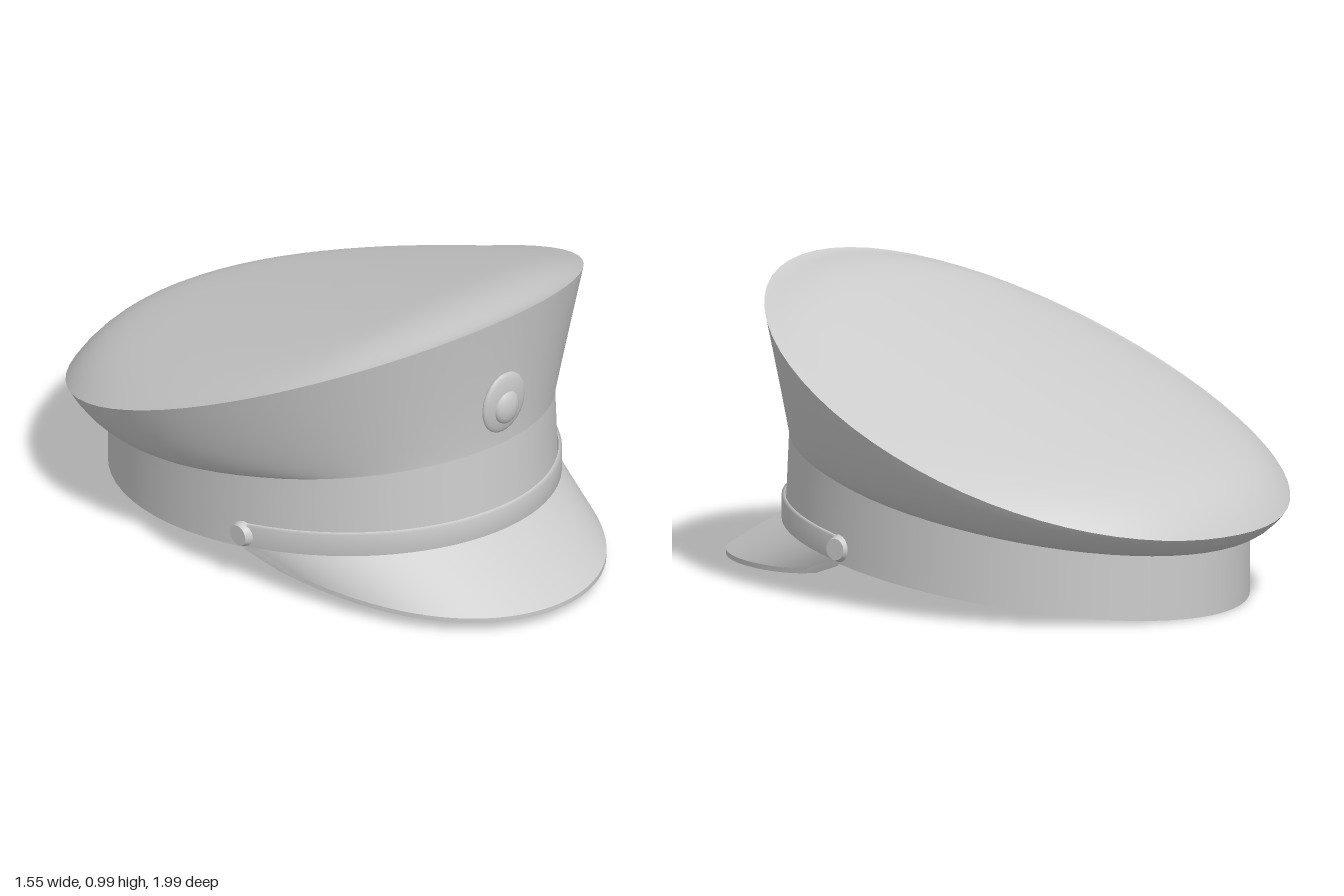
import * as THREE from 'three';

const grey = new THREE.MeshStandardMaterial({ color: 0xcccccc, side: THREE.DoubleSide });

// Grid surface from f(u, v) -> [x, y, z]; closed surfaces wrap around in u.
function surface(f, nu, nv, closed = false) {
  const pos = [], index = [], cols = closed ? nu : nu + 1;
  for (let j = 0; j <= nv; j++)
    for (let i = 0; i < cols; i++) pos.push(...f(i / nu, j / nv));
  for (let j = 0; j < nv; j++)
    for (let i = 0; i < nu; i++) {
      const k = (i + 1) % cols;
      const a = j * cols + i, b = j * cols + k, c = b + cols, d = a + cols;
      index.push(a, b, c, a, c, d);
    }
  const g = new THREE.BufferGeometry();
  g.setAttribute('position', new THREE.Float32BufferAttribute(pos, 3));
  g.setIndex(index);
  g.computeVertexNormals();
  return g;
}

const lerp = THREE.MathUtils.lerp;
const TAU = Math.PI * 2;

// Plan outlines, angle 0 at the front, and the heights along z.
const bandXZ = (a, s = 1) => [0.63 * s * Math.sin(a), -0.085 + 0.8 * s * Math.cos(a)];
const bandTopXZ = (a, s = 1) => {
  const [x, z] = bandXZ(a, s);
  return [x, z - 0.02 * s * Math.max(0, Math.cos(a))];
};
const rimXZ = (a, s = 1) => [0.775 * s * Math.sin(a), -0.125 + 0.87 * s * Math.cos(a)];
const bandBottom = z => 0.13 + 0.125 * z;
const bandTop = z => 0.38 + 0.19 * z + 0.02 * z * z;
const rimY = z => 0.29 + 0.715 * Math.pow(Math.max(0, (z + 1) / 1.745), 1.22);
const archY = (x, z) => 0.783 + 0.386 * z - 0.5 * Math.max(0, z - 0.4) ** 2 - 0.2 * x * x;

export function createModel() {
  const cap = new THREE.Group();
  cap.name = 'peakedCap';
  const add = (name, geometry) => {
    const m = new THREE.Mesh(geometry, grey);
    m.name = name;
    cap.add(m);
    return m;
  };

  // Head band, open below
  add('band', surface((u, v) => {
    const a = u * TAU, [bx, bz] = bandXZ(a), [tx, tz] = bandTopXZ(a);
    return [lerp(bx, tx, v), lerp(bandBottom(bz), bandTop(tz), v), lerp(bz, tz, v)];
  }, 64, 4, true));

  // Lining closing the inside at the top of the band
  add('lining', surface((u, v) => {
    const [x, z] = bandTopXZ(u * TAU, lerp(0.001, 0.995, v));
    return [x, bandTop(z), z];
  }, 64, 4, true));

  // Crown wall: concave flare at the front, full bulge at the sides and back
  add('crownWall', surface((u, v) => {
    const a = u * TAU, [bx, bz] = bandTopXZ(a), [rx, rz] = rimXZ(a);
    const front = Math.pow(Math.max(0, Math.cos(a)), 1.5);
    const rise = v * v * (2 - v);
    const out = Math.pow(rise, lerp(0.45, 1.3, front));
    return [lerp(bx, rx, out), lerp(bandTop(bz), rimY(rz), rise), lerp(bz, rz, out)];
  }, 64, 14, true));

  // Sloping, gently arched top that turns down at the rim
  add('crownTop', surface((u, v) => {
    const s = lerp(1, 0.001, v * v), [x, z] = rimXZ(u * TAU, s);
    return [x, lerp(archY(x, z), rimY(z), Math.pow(s, 12)), z];
  }, 64, 20, true));

  // Peak: grows from the band and drops forward
  const peakSpan = 1.27;
  const peakPoint = (u, v, drop = 0) => {
    const t = 2 * u - 1, [x, z] = bandXZ(t * peakSpan);
    const c = Math.max(0, Math.cos(t * Math.PI / 2));
    const w = Math.pow(c, 0.45);
    return [x * (1 - 0.15 * t * t * w * v), bandBottom(z) - 0.16 * w * v - drop + 0.01, z + 0.275 * w * v];
  };
  add('peakTop', surface((u, v) => peakPoint(u, 1 - v), 48, 8));
  add('peakUnderside', surface((u, v) => peakPoint(u, v, 0.016), 48, 8));
  add('peakEdge', surface((u, v) => peakPoint(u, 1, 0.016 * (1 - v)), 48, 1));

  // Chin strap around the front with a button at each end
  const strapSpan = 1.28;
  const strapRing = [[1.0, 0.005], [1.015, 0.01], [1.015, 0.085], [1.0, 0.09]];
  add('strap', surface((u, v) => {
    const [s, h] = strapRing[Math.round(v * 3)];
    const a = (2 * u - 1) * strapSpan, [x, z] = bandXZ(a, s);
    return [x, bandBottom(bandXZ(a)[1]) + h, z];
  }, 40, 3));
  for (const side of [-1, 1]) {
    const [x, z] = bandXZ(side * strapSpan, 1.015);
    const button = add(side > 0 ? 'leftButton' : 'rightButton', new THREE.CylinderGeometry(0.035, 0.045, 0.025, 16));
    button.position.set(x, bandBottom(z) + 0.05, z);
    button.rotation.z = -side * Math.PI / 2;
  }

  // Plain oval badge on the front of the crown
  const plate = add('badgePlate', new THREE.SphereGeometry(1, 20, 12));
  plate.scale.set(0.09, 0.11, 0.02);
  plate.position.set(0, 0.68, 0.71);
  plate.rotation.x = 0.08;
  const boss = add('badgeBoss', new THREE.SphereGeometry(1, 16, 10));
  boss.scale.set(0.05, 0.06, 0.025);
  boss.position.set(0, 0.67, 0.722);

  return cap;
}
